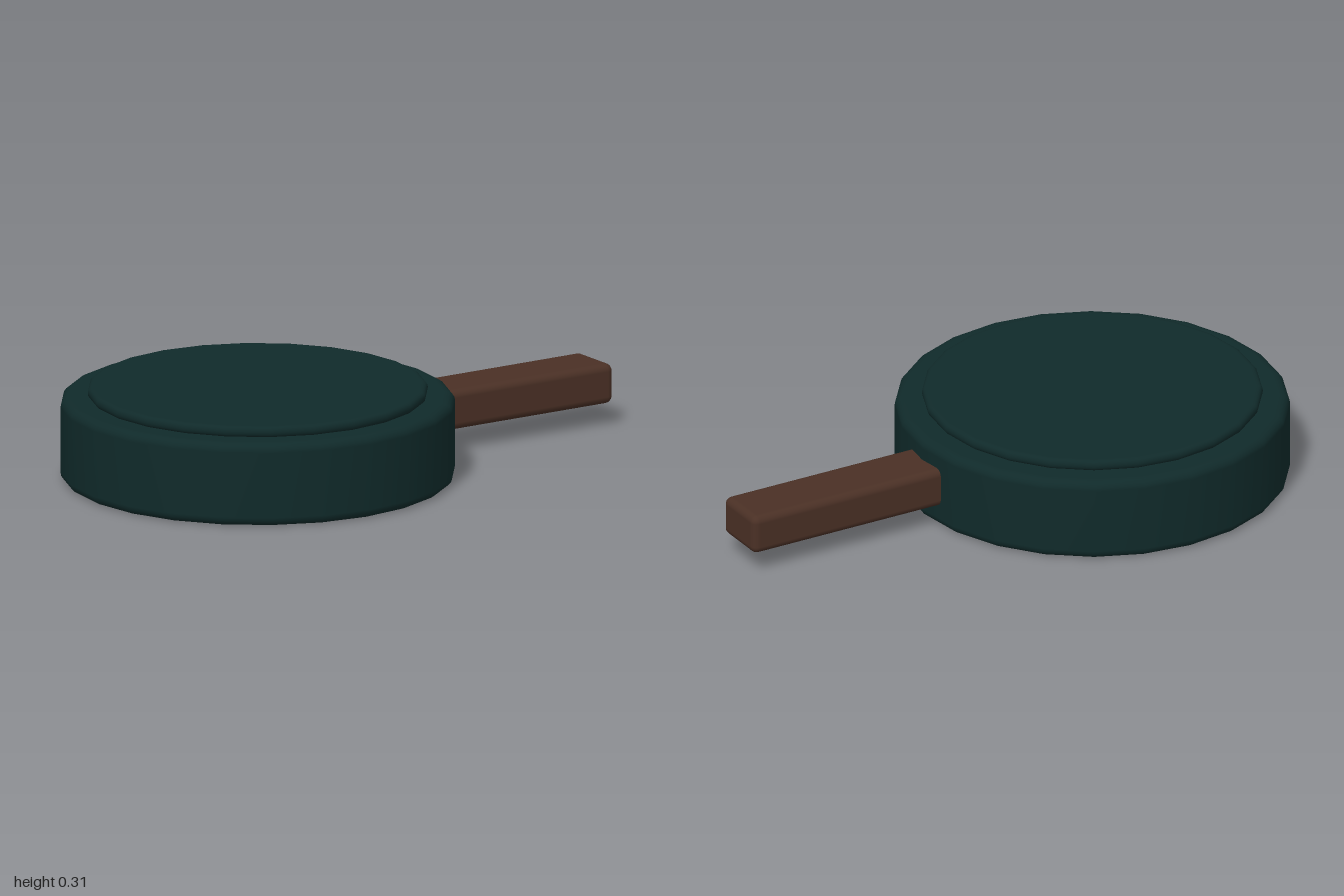
import * as THREE from 'three';
import { RoundedBoxGeometry } from 'three/addons/geometries/RoundedBoxGeometry.js';

const SIDES = 24;
const CENTRE_X = -0.35;

// Solid disc with rounded rims, turned from a half profile
function roundedDisc(radius, y0, y1, bevel) {
  const points = [new THREE.Vector2(0, y0), new THREE.Vector2(radius - bevel - 0.005, y0)];
  const steps = 4;
  for (const [cy, start] of [[y0 + bevel, -Math.PI / 2], [y1 - bevel, 0]]) {
    for (let i = 0; i <= steps; i++) {
      const a = start + (i / steps) * Math.PI / 2;
      points.push(new THREE.Vector2(radius - bevel + Math.cos(a) * bevel, cy + Math.sin(a) * bevel));
    }
  }
  points.push(new THREE.Vector2(radius - bevel - 0.005, y1), new THREE.Vector2(0, y1));
  return new THREE.LatheGeometry(points, SIDES);
}

export function createModel() {
  const model = new THREE.Group();
  model.name = 'pan';
  const iron = new THREE.MeshStandardMaterial({ color: 0x102a2a });
  iron.name = 'dark green iron';
  const wood = new THREE.MeshStandardMaterial({ color: 0x4a3025 });
  wood.name = 'brown wood';

  const add = (name, geometry, material, x, y = 0) => {
    const mesh = new THREE.Mesh(geometry, material);
    mesh.name = name;
    mesh.position.set(x, y, 0);
    model.add(mesh);
  };

  // Round body and the thin raised plate on top
  add('body', roundedDisc(0.65, 0, 0.28, 0.03), iron, CENTRE_X);
  add('topPlate', roundedDisc(0.56, 0.278, 0.315, 0.016), iron, CENTRE_X);

  // Handle, sunk slightly into the body wall
  add('handle', new RoundedBoxGeometry(0.75, 0.135, 0.2, 3, 0.025), wood, 0.625, 0.1425);

  return model;
}
